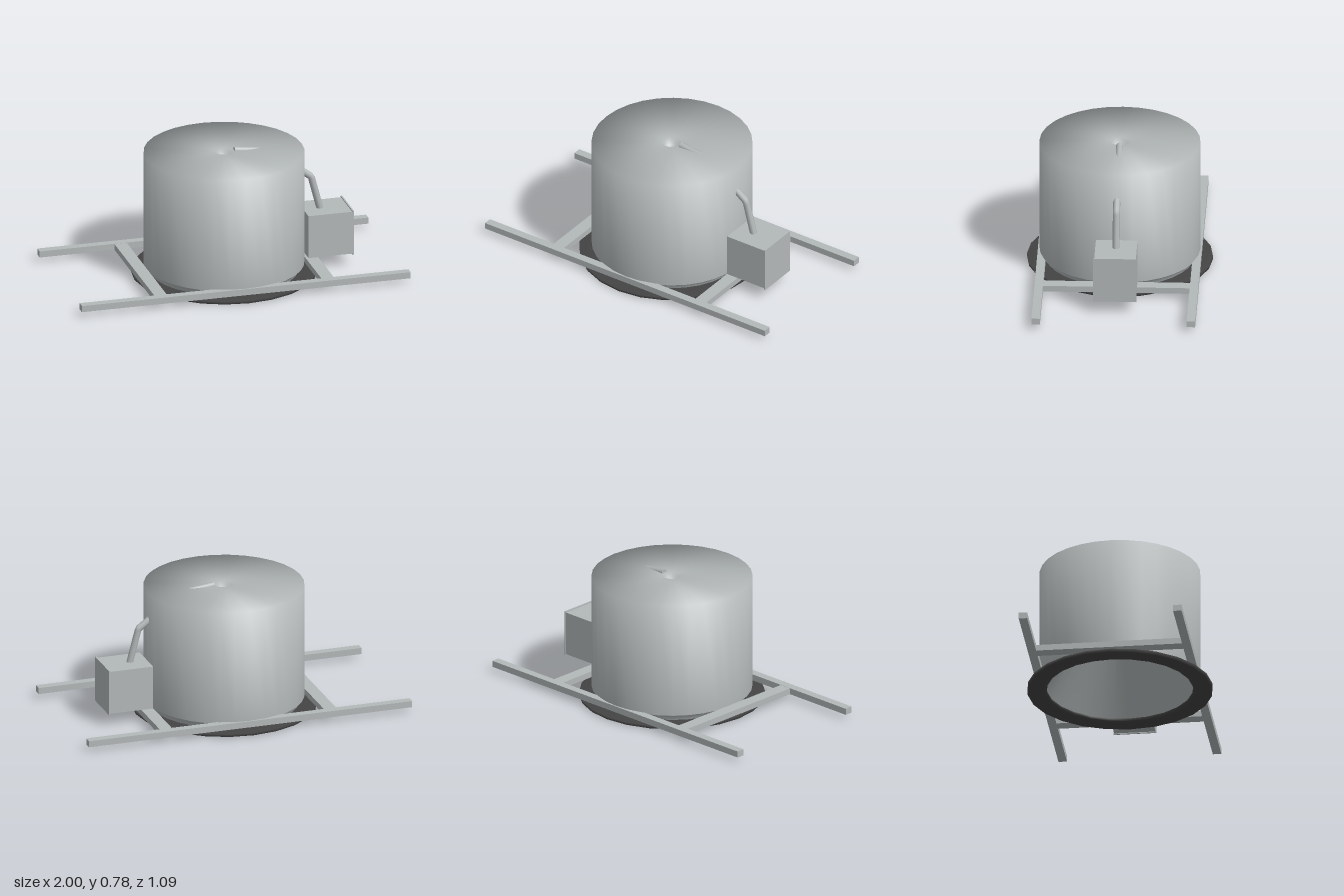
import * as THREE from 'three';

export function createModel() {
  const model = new THREE.Group();
  const grey = new THREE.MeshStandardMaterial({ color: 0xb3b8b8 });
  grey.name = 'light grey metal';
  const dark = new THREE.MeshStandardMaterial({ color: 0x444444 });
  dark.name = 'dark rubber';

  const add = (name, geometry, material, x = 0, y = 0, z = 0) => {
    const mesh = new THREE.Mesh(geometry, material);
    mesh.name = name;
    mesh.position.set(x, y, z);
    model.add(mesh);
    return mesh;
  };
  const lathe = (points, sides) =>
    new THREE.LatheGeometry(points.map(([r, y]) => new THREE.Vector2(r, y)), sides);
  const box = (name, x0, x1, y0, y1, z0, z1) =>
    add(name, new THREE.BoxGeometry(x1 - x0, y1 - y0, z1 - z0), grey,
      (x0 + x1) / 2, (y0 + y1) / 2, (z0 + z1) / 2);

  // Hollow drum: conical lining, outer wall, flat top with a shallow centre hole
  add('drum', lathe([
    [0, 0.69], [0.055, 0.69], [0.43, 0.02], [0.44, 0.02], [0.44, 0.045], [0.472, 0.06],
    [0.472, 0.755], [0.055, 0.755], [0.055, 0.70], [0, 0.70],
  ], 32), grey);

  // Flat base ring, open in the middle
  add('baseRing', lathe([
    [0.43, 0.02], [0.43, 0.004], [0.455, 0], [0.535, 0], [0.545, 0.004], [0.545, 0.02], [0.43, 0.02],
  ], 24), dark);

  // Carrying frame: two long rails and two cross bars
  for (const s of [-1, 1]) {
    add('rail', new THREE.BoxGeometry(2, 0.038, 0.05), grey, 0, 0.049, s * 0.455);
    add('crossBar', new THREE.BoxGeometry(0.075, 0.036, 0.86), grey, s * 0.508, 0.049, 0);
  }

  // Side box with a thin outer cover
  box('sideBox', 0.48, 0.746, 0.077, 0.34, -0.122, 0.122);
  box('boxCover', 0.746, 0.755, 0.071, 0.347, -0.127, 0.127);

  // Pipe from the box, through the drum wall, to the top centre
  const path = new THREE.CurvePath();
  const corners = [[0.585, 0.33], [0.53, 0.54], [0.465, 0.588], [0.22, 0.735], [0.062, 0.755]]
    .map(([x, y]) => new THREE.Vector3(x, y, 0));
  for (let i = 1; i < corners.length; i++) {
    path.add(new THREE.LineCurve3(corners[i - 1], corners[i]));
  }
  add('pipe', new THREE.TubeGeometry(path, 40, 0.021, 8, false), grey);
  const cap = add('pipeEnd', new THREE.CircleGeometry(0.021, 8), grey, 0.062, 0.755, 0);
  cap.rotation.y = -Math.PI / 2;

  return model;
}
